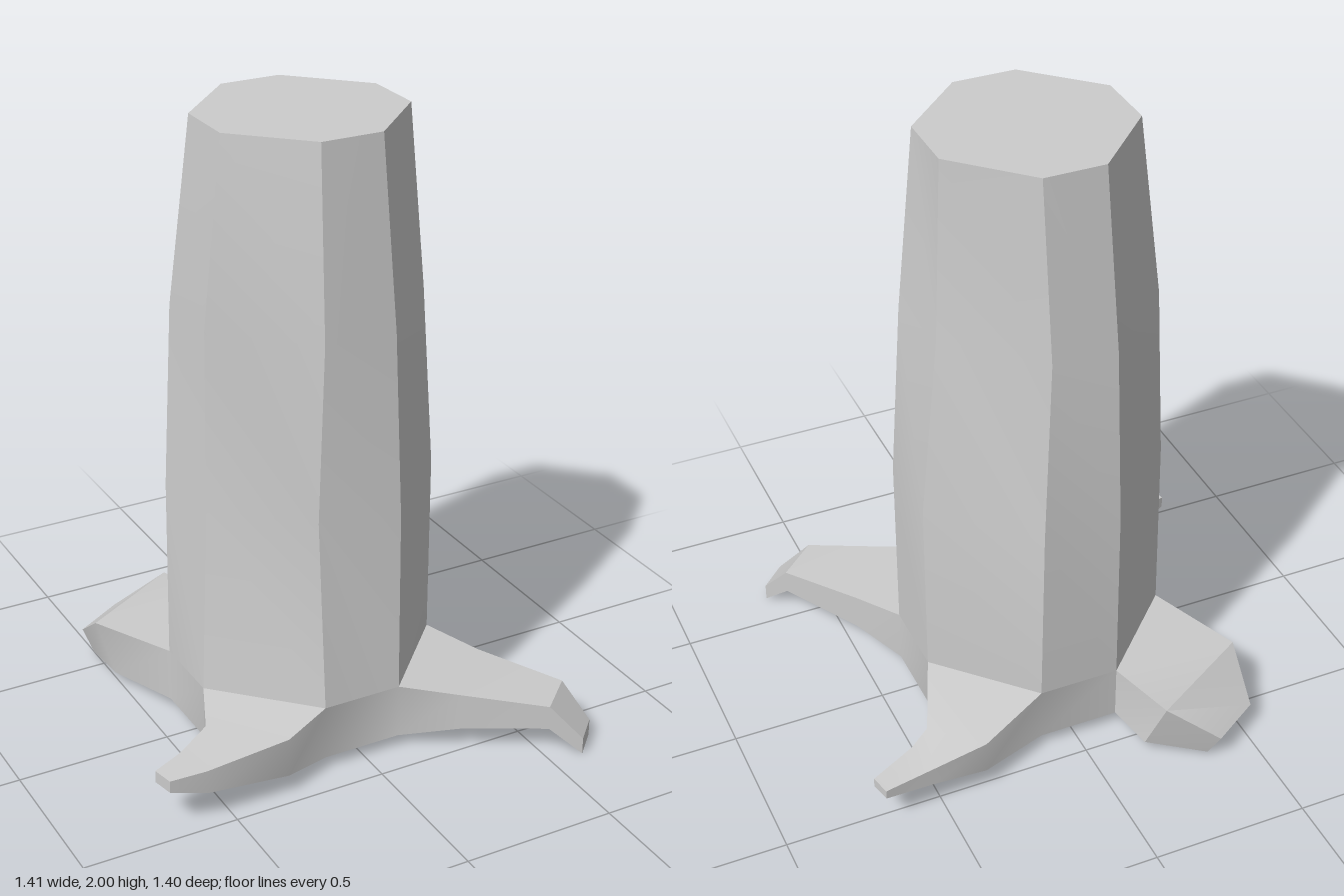
import * as THREE from 'three';
import { toCreasedNormals } from 'three/addons/utils/BufferGeometryUtils.js';

// Octagonal trunk rings, counter-clockwise from above: [height, [x, z] x 8]
const baseRing = [[0.12, 0.39], [0.39, 0.11], [0.39, -0.14], [0.12, -0.42], [-0.14, -0.42], [-0.42, -0.14], [-0.42, 0.11], [-0.14, 0.39]];
const trunkRings = [
  [0.22, baseRing],
  [0.82, [[0.115, 0.39], [0.39, 0.11], [0.39, -0.14], [0.11, -0.415], [-0.14, -0.415], [-0.415, -0.14], [-0.375, 0.065], [-0.125, 0.315]]],
  [1.41, [[0.105, 0.36], [0.36, 0.087], [0.32, -0.11], [0.07, -0.37], [-0.13, -0.39], [-0.385, -0.14], [-0.38, 0.087], [-0.125, 0.35]]],
  [2.0, [[0.09, 0.295], [0.3, 0.09], [0.3, -0.115], [0.085, -0.33], [-0.11, -0.33], [-0.32, -0.115], [-0.32, 0.09], [-0.11, 0.295]]],
];

// Root sections: start corner on the octagon, then
// [xL, zL, xR, zR, yTop, yBottom, bottom shift x, bottom shift z]
const roots = [
  { corner: 0, sections: [
    [0.29, 0.49, 0.48, 0.28, 0.193, 0.07],
    [0.52, 0.64, 0.64, 0.53, 0.165, 0.085],
    [0.61, 0.70, 0.69, 0.62, 0.055, 0],
  ] },
  { corner: 2, sections: [
    [0.49, -0.38, 0.35, -0.52, 0.18, 0.07],
    [0.555, -0.415, 0.53, -0.53, 0.155, 0.092],
    [0.705, -0.48, 0.69, -0.545, 0.14, 0.11],
  ] },
  { corner: 4, sections: [
    [-0.21, -0.635, -0.55, -0.435, 0.205, 0.035, 0.04, 0.06],
    [-0.37, -0.705, -0.53, -0.605, 0.085, 0.008, 0.025, 0.035],
  ] },
  { corner: 6, sections: [
    [-0.49, 0.27, -0.30, 0.455, 0.195, 0.065],
    [-0.61, 0.34, -0.58, 0.465, 0.178, 0.1],
    [-0.71, 0.38, -0.695, 0.45, 0.17, 0.13],
  ] },
];

// Collects flat polygons as triangle fans
function surface() {
  const positions = [];
  return {
    face(...p) {
      for (let i = 1; i < p.length - 1; i++) positions.push(...p[0], ...p[i], ...p[i + 1]);
    },
    // Walls between two closed loops
    bridge(a, b) {
      a.forEach((p, i) => {
        const j = (i + 1) % a.length;
        this.face(p, b[i], b[j], a[j]);
      });
    },
    mesh(name, crease) {
      const g = new THREE.BufferGeometry();
      g.setAttribute('position', new THREE.Float32BufferAttribute(positions, 3));
      const m = new THREE.Mesh(toCreasedNormals(g, crease), new THREE.MeshStandardMaterial({ color: 0xcccccc }));
      m.name = name;
      return m;
    },
  };
}

const level = (ring, y) => ring.map(([x, z]) => [x, y, z]);

function makeTrunk() {
  const s = surface();
  const loops = trunkRings.map(([y, ring]) => level(ring, y));
  for (let i = 0; i < loops.length - 1; i++) s.bridge(loops[i + 1], loops[i]);
  s.face(...loops.at(-1));
  return s.mesh('trunk', 0.45);
}

function makeRoots() {
  const s = surface();
  const top = level(baseRing, 0.22);
  const bottom = level(baseRing, 0.04);
  s.face(...[...bottom].reverse());

  for (const { corner, sections } of roots) {
    const l = corner, r = corner + 1, n = (corner + 2) % 8;
    // Root grows out of one diagonal side
    let loop = [top[l], top[r], bottom[r], bottom[l]];
    for (const [xl, zl, xr, zr, yt, yb, dx = 0, dz = 0] of sections) {
      const next = [[xl, yt, zl], [xr, yt, zr], [xr + dx, yb, zr + dz], [xl + dx, yb, zl + dz]];
      s.bridge(loop, next);
      loop = next;
    }
    // Blunt root tip
    s.face(loop[0], loop[3], loop[2], loop[1]);
    // Straight side between this root and the next
    s.face(bottom[r], bottom[n], top[n], top[r]);
  }
  return s.mesh('roots', 0.65);
}

export function createModel() {
  const group = new THREE.Group();
  group.name = 'treeStump';
  group.add(makeTrunk(), makeRoots());
  return group;
}
